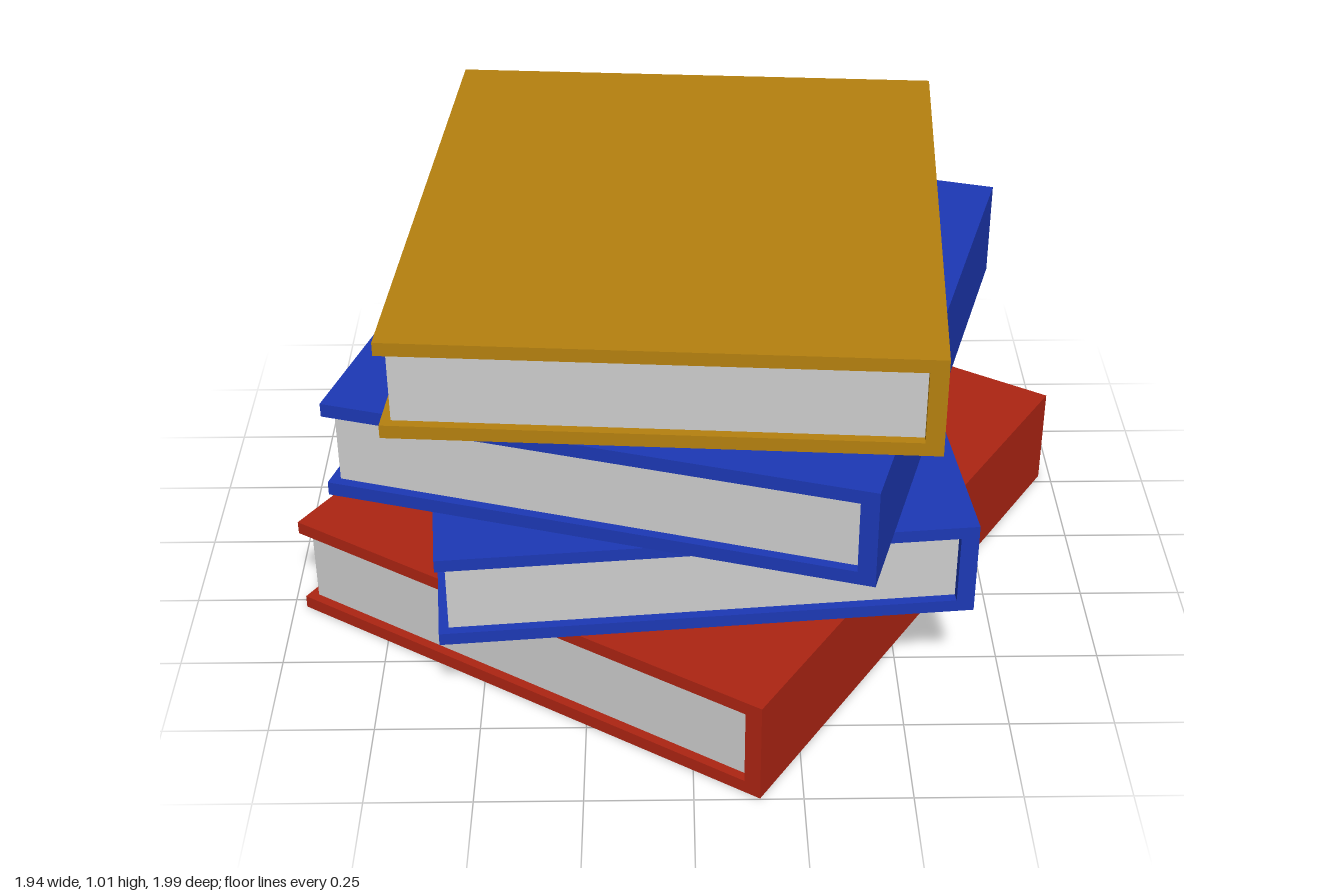
import * as THREE from 'three';

const SPINE = 0.042;   // spine thickness, on the +x side
const INSET = 0.023;   // pages sit back from the cover edges

const pageMaterial = new THREE.MeshStandardMaterial({ color: 0xcccccc, flatShading: true });

// One hardback: a C-shaped cover (two boards and a spine) around a page block
function createBook({ name, color, width, length, height, board, x, y, z, turn }) {
  const book = new THREE.Group();
  book.name = name;

  // Cover: C profile open towards -x, extruded along the book's length
  const w = width / 2;
  const profile = new THREE.Shape([
    [-w, 0], [w, 0], [w, height], [-w, height],
    [-w, height - board], [w - SPINE, height - board],
    [w - SPINE, board], [-w, board],
  ].map(([px, py]) => new THREE.Vector2(px, py)));
  const coverGeometry = new THREE.ExtrudeGeometry(profile, { depth: length, bevelEnabled: false });
  coverGeometry.translate(0, 0, -length / 2);
  const cover = new THREE.Mesh(coverGeometry, new THREE.MeshStandardMaterial({ color, flatShading: true }));
  cover.name = 'cover';

  // Page block between the boards
  const pages = new THREE.Mesh(
    new THREE.BoxGeometry(width - SPINE - INSET, height - 2 * board, length - 2 * INSET),
    pageMaterial,
  );
  pages.position.set((INSET - SPINE) / 2, height / 2, 0);
  pages.name = 'pages';

  book.add(cover, pages);
  book.position.set(x, y, z);
  book.rotation.y = turn;
  return book;
}

export function createModel() {
  const stack = new THREE.Group();
  stack.name = 'bookStack';

  // Books from the bottom up, each turned differently
  const books = [
    { name: 'redBook', color: 0xac2412, width: 1.331, length: 1.516, height: 0.263, board: 0.033, x: 0, y: 0, z: 0, turn: -0.571 },
    { name: 'lowerBlueBook', color: 0x1c38b4, width: 1.245, length: 1.418, height: 0.239, board: 0.031, x: -0.025, y: 0.263, z: 0, turn: 0.092 },
    { name: 'upperBlueBook', color: 0x1c38b4, width: 1.294, length: 1.478, height: 0.25, board: 0.034, x: -0.01, y: 0.515, z: -0.005, turn: -0.29 },
    { name: 'yellowBook', color: 0xb4800f, width: 1.243, length: 1.422, height: 0.246, board: 0.033, x: -0.02, y: 0.765, z: -0.005, turn: -0.072 },
  ];
  for (const spec of books) stack.add(createBook(spec));

  return stack;
}
